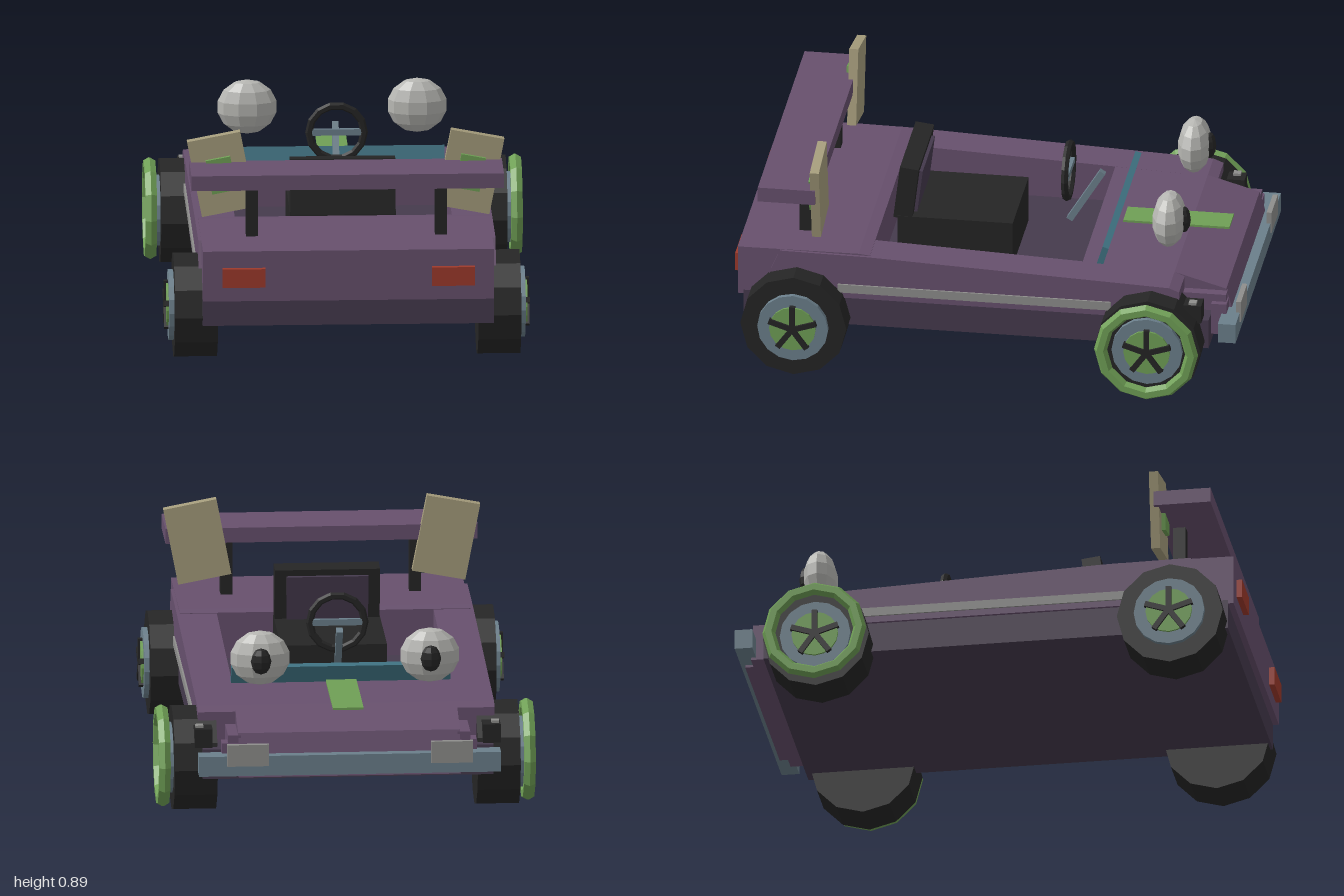
import * as THREE from 'three';

const paint = (name, color) => {
  const m = new THREE.MeshStandardMaterial({ color, flatShading: true });
  m.name = name;
  return m;
};

export function createModel() {
  const purple = paint('purple', 0x67506d);
  const darkPurple = paint('darkPurple', 0x453a4d);
  const black = paint('black', 0x252525);
  const steel = paint('blueSteel', 0x6b7f8b);
  const green = paint('green', 0x6f9f55);
  const teal = paint('teal', 0x3f7282);
  const white = paint('paleGrey', 0xb6b6b2);
  const silver = paint('silver', 0x8e8e8c);
  const tan = paint('tan', 0xa59c7c);
  const red = paint('red', 0x9e3a2c);

  const car = new THREE.Group();
  car.name = 'car';

  const add = (name, geo, mat, pos = [0, 0, 0], parent = car) => {
    const mesh = new THREE.Mesh(geo, mat);
    mesh.name = name;
    mesh.position.set(...pos);
    parent.add(mesh);
    return mesh;
  };
  // Box given by its min and max along each axis
  const box = (name, mat, [x0, x1], [y0, y1], [z0, z1], parent = car) =>
    add(name, new THREE.BoxGeometry(x1 - x0, y1 - y0, z1 - z0), mat,
      [(x0 + x1) / 2, (y0 + y1) / 2, (z0 + z1) / 2], parent);
  // Side profile of [z, y] points, extruded from x0 to x1
  const profile = (name, mat, pts, x0, x1) => {
    const shape = new THREE.Shape(pts.map(([z, y]) => new THREE.Vector2(-z, y)));
    const geo = new THREE.ExtrudeGeometry(shape, { depth: x1 - x0, bevelEnabled: false });
    geo.rotateY(Math.PI / 2).translate(x0, 0, 0);
    return add(name, geo, mat);
  };
  const span = (c, half) => [c - half, c + half];

  // Chassis and body shell
  box('chassis', darkPurple, [-0.57, 0.57], [0.18, 0.3], [-0.885, 0.955]);
  profile('tailDeck', purple,
    [[0.455, 0.3], [0.455, 0.485], [0.5, 0.49], [0.978, 0.487], [0.978, 0.285], [0.9, 0.285]], -0.57, 0.57);
  profile('hood', purple,
    [[-0.365, 0.3], [-0.365, 0.45], [-0.73, 0.436], [-0.935, 0.378], [-0.957, 0.3], [-0.978, 0.21], [-0.89, 0.21]],
    -0.435, 0.435);
  box('noseLip', purple, [-0.5, 0.5], [0.21, 0.34], [-0.945, -0.885]);
  for (const s of [-1, 1]) {
    const [a, b] = s > 0 ? [0.425, 0.582] : [-0.582, -0.425];
    profile('sideWall', purple,
      [[0.89, 0.3], [0.81, 0.487], [0.46, 0.483], [-0.73, 0.436], [-0.77, 0.42], [-0.77, 0.3]], a, b);
    box('sideStripe', silver, span(s * 0.585, 0.004), [0.325, 0.36], [-0.5, 0.58]);
    box('noseSide', purple, span(s * 0.45, 0.025), [0.25, 0.37], [-0.94, -0.76]);
    box('fenderBracket', black, span(s * 0.565, 0.035), [0.3, 0.375], [-0.86, -0.79]);
    box('fenderStud', silver, span(s * 0.58, 0.015), [0.355, 0.385], [-0.84, -0.81]);
    box('tailLight', red, span(s * 0.41, 0.084), [0.345, 0.42], [0.97, 1]);
    box('bumperLight', silver, span(s * 0.4, 0.082), [0.26, 0.347], [-1, -0.98]);
  }

  // Bumper, hood stripe and windscreen
  box('frontBumper', steel, [-0.592, 0.592], [0.22, 0.3], [-0.995, -0.925]);
  box('hoodStripe', green, [-0.06, 0.06], [0.452, 0.461], [-0.89, -0.47]);
  const screen = box('windscreen', teal, [-0.43, 0.43], [0.44, 0.52], [-0.457, -0.432]);
  screen.rotation.x = -0.3;

  // Seat
  box('seatBase', black, [-0.208, 0.208], [0.3, 0.487], [-0.055, 0.4]);
  const seatBack = new THREE.Group();
  seatBack.name = 'seatBack';
  seatBack.position.set(0, 0.585, 0.368);
  seatBack.rotation.x = -0.12;
  car.add(seatBack);
  box('backrest', black, [-0.206, 0.206], [-0.11, 0.11], [-0.037, 0.037], seatBack);
  box('backCushion', darkPurple, [-0.16, 0.16], [-0.095, 0.085], [-0.05, -0.037], seatBack);

  // Steering wheel on a slanted column
  add('steeringWheel', new THREE.TorusGeometry(0.108, 0.015, 6, 14), black, [0, 0.632, -0.245]);
  box('steeringBar', steel, [-0.1, 0.1], [0.62, 0.645], [-0.255, -0.238]);
  const column = add('steeringColumn', new THREE.BoxGeometry(0.026, 0.25, 0.026), steel, [0, 0.53, -0.315]);
  column.rotation.x = -0.55;

  // Spoiler, posts and tilted end plates
  box('spoiler', purple, [-0.612, 0.612], [0.71, 0.77], [0.667, 0.893]);
  for (const s of [-1, 1]) {
    box('spoilerPost', black, span(s * 0.37, 0.023), [0.48, 0.71], [0.71, 0.76]);
    const plate = new THREE.Group();
    plate.name = 'endPlate';
    plate.position.set(s * 0.488, 0.72, 0.668);
    plate.rotation.z = -s * 0.19;
    car.add(plate);
    box('platePanel', tan, [-0.106, 0.106], [-0.155, 0.155], [-0.018, 0.018], plate);
    box('platePatch', green, [-0.049, 0.049], [-0.069, 0.069], [0.018, 0.034], plate);
  }

  // Eye lamps floating above the hood
  for (const s of [-1, 1]) {
    const eye = add('eye', new THREE.SphereGeometry(1, 10, 7), white, [s * 0.333, 0.617, -0.694]);
    eye.scale.set(0.118, 0.11, 0.067);
    const pupil = add('pupil', new THREE.SphereGeometry(1, 8, 6), black, [s * 0.333, 0.617, -0.752]);
    pupil.scale.set(0.042, 0.053, 0.027);
  }

  // Wheels; the front pair carries an extra green ring
  const disc = (name, mat, r, x0, x1, parent, sides = 12) =>
    add(name, new THREE.CylinderGeometry(r, r, x1 - x0, sides).rotateZ(Math.PI / 2), mat, [(x0 + x1) / 2, 0, 0], parent);
  for (const s of [-1, 1]) {
    for (const [z, front] of [[0.742, false], [-0.66, true]]) {
      const wheel = new THREE.Group();
      wheel.name = front ? 'frontWheel' : 'rearWheel';
      wheel.position.set(0, 0.21, z);
      wheel.rotation.y = s > 0 ? 0 : Math.PI;
      car.add(wheel);
      disc('tyre', black, 0.21, 0.51, 0.678, wheel);
      disc('rim', steel, 0.14, 0.67, 0.698, wheel, 16);
      disc('hubDisc', green, 0.092, 0.69, 0.707, wheel, 16);
      for (let i = 0; i < 5; i++) {
        const geo = new THREE.BoxGeometry(0.02, 0.098, 0.022).translate(0.706, 0.049, 0);
        add('spoke', geo, black, [0, 0, 0], wheel).rotation.x = i * Math.PI * 2 / 5;
      }
      if (front) {
        const ring = new THREE.TorusGeometry(0.18, 0.026, 6, 12).rotateY(Math.PI / 2);
        add('wheelRing', ring, green, [0.716, 0.008, 0], wheel);
      }
    }
  }
  return car;
}
